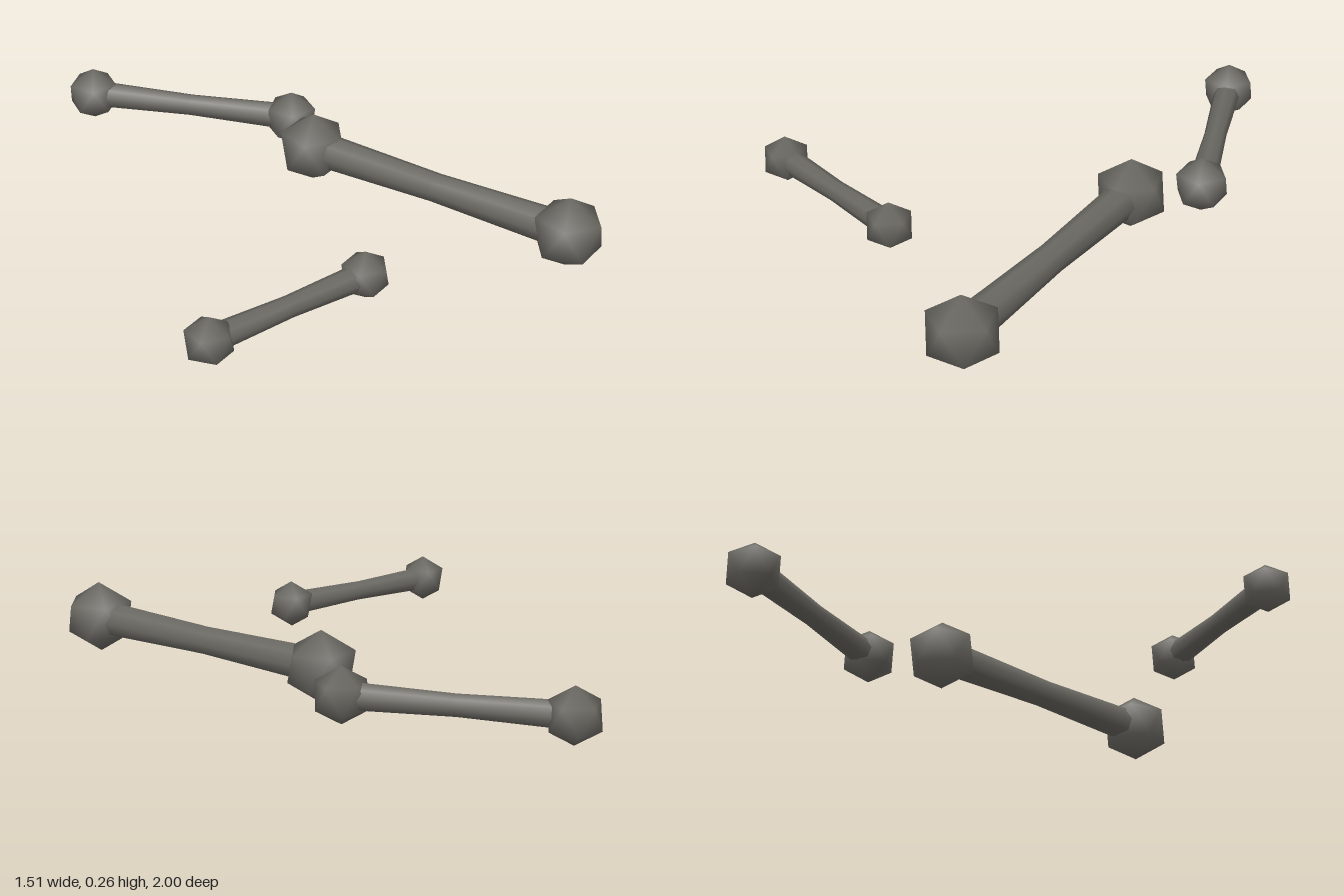
import * as THREE from 'three';

const boneMaterial = new THREE.MeshStandardMaterial({ color: 0x6a6862 });
boneMaterial.name = 'dark bone grey';

// Twenty-sided knob with one corner straight up and smooth radial normals
function knobGeometry(radius) {
  const g = new THREE.IcosahedronGeometry(radius, 0);
  g.rotateZ(-Math.atan(2 / (1 + Math.sqrt(5))));
  const p = g.attributes.position;
  const n = new THREE.Vector3();
  for (let i = 0; i < p.count; i++) {
    n.fromBufferAttribute(p, i).normalize();
    g.attributes.normal.setXYZ(i, n.x, n.y, n.z);
  }
  return g;
}

// Waisted shaft along x, closed at both ends
function shaftGeometry(length, radius) {
  const h = length / 2;
  const profile = [[0, -h], [1, -h], [0.8, 0], [1, h], [0, h]]
    .map(([r, y]) => new THREE.Vector2(r * radius, y));
  return new THREE.LatheGeometry(profile.slice(1, 4), 8).rotateZ(-Math.PI / 2);
}

// One bone lying between two points on the ground plane
function makeBone(name, [ax, az], [bx, bz], y, knobRadius, shaftRadius) {
  const bone = new THREE.Group();
  bone.name = name;
  const length = Math.hypot(bx - ax, bz - az);

  const shaft = new THREE.Mesh(shaftGeometry(length, shaftRadius), boneMaterial);
  shaft.name = 'shaft';
  bone.add(shaft);

  for (const [side, label] of [[-1, 'startKnob'], [1, 'endKnob']]) {
    const knob = new THREE.Mesh(knobGeometry(knobRadius), boneMaterial);
    knob.name = label;
    knob.position.x = side * length / 2;
    bone.add(knob);
  }

  bone.position.set((ax + bx) / 2, y, (az + bz) / 2);
  bone.rotation.y = -Math.atan2(bz - az, bx - ax);
  return bone;
}

export function createModel() {
  const model = new THREE.Group();
  model.name = 'scatteredBones';
  model.add(
    makeBone('largeBone', [0.3, -0.073], [0.638, 0.89], 0.136, 0.13, 0.065),
    makeBone('mediumBone', [-0.107, -0.911], [0.386, -0.321], 0.121, 0.101, 0.05),
    makeBone('smallBone', [-0.68, 0.69], [-0.058, 0.678], 0.119, 0.087, 0.046),
  );
  return model;
}
